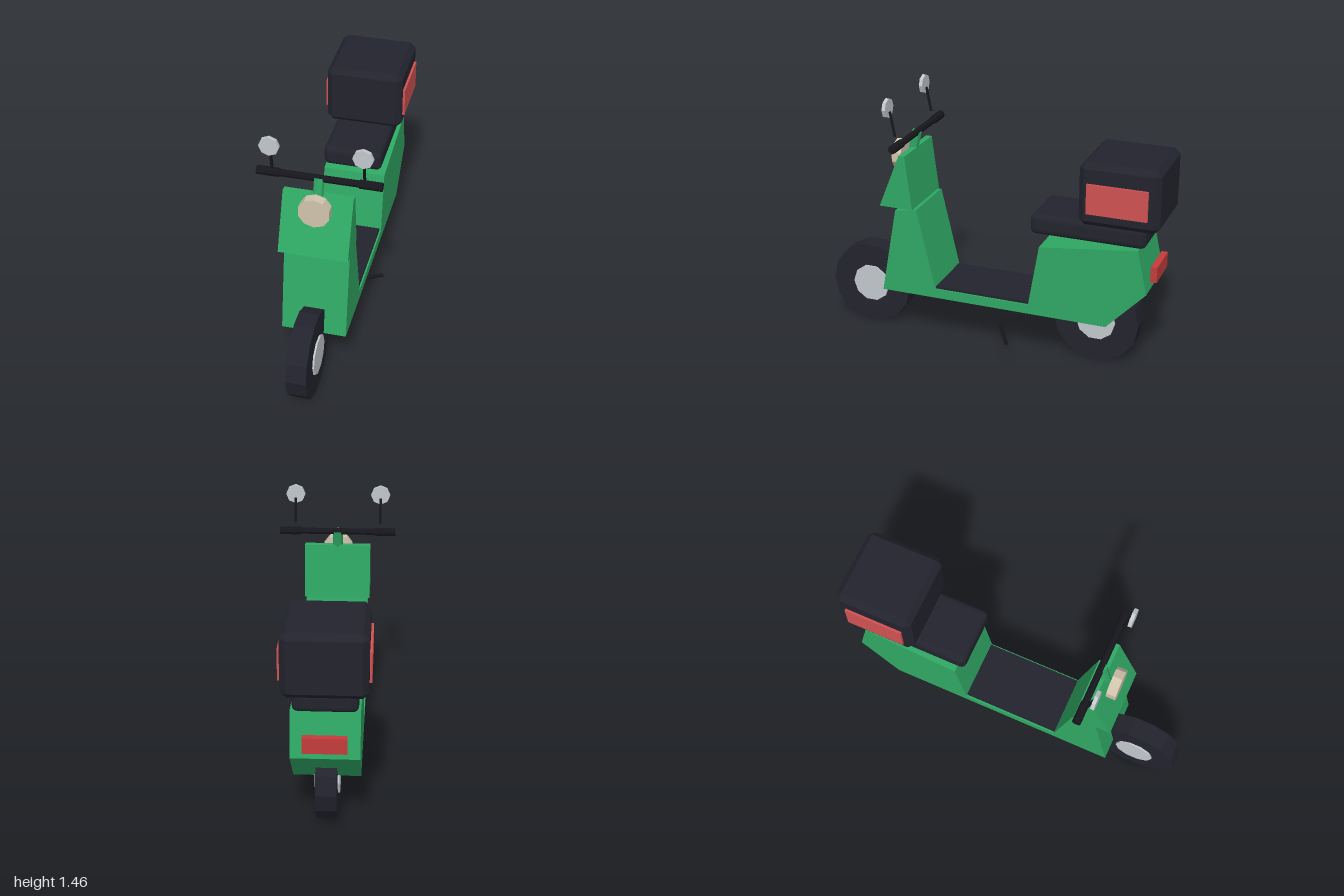
import * as THREE from 'three';
import { RoundedBoxGeometry } from 'three/addons/geometries/RoundedBoxGeometry.js';
import { ConvexGeometry } from 'three/addons/geometries/ConvexGeometry.js';

export function createModel() {
  const model = new THREE.Group();
  model.name = 'scooter';

  const material = (name, color) => {
    const m = new THREE.MeshStandardMaterial({ color });
    m.name = name;
    m.flatShading = true;
    return m;
  };
  const green = material('greenPaint', 0x2fa864);
  const dark = material('darkRubber', 0x23232e);
  const black = material('blackPlastic', 0x16161c);
  const silver = material('silverMetal', 0xc2c8cd);
  const cream = material('creamLens', 0xd0c4ac);
  const red = material('redPanel', 0xd05252);
  const deepRed = material('tailLightRed', 0xc43c3c);

  const add = (name, geometry, mat, x = 0, y = 0, z = 0) => {
    const mesh = new THREE.Mesh(geometry, mat);
    mesh.name = name;
    mesh.position.set(x, y, z);
    model.add(mesh);
    return mesh;
  };

  // Side profile given as [z, y], extruded across x
  const sideProfile = (points, halfWidth) => {
    const shape = new THREE.Shape(points.map(([z, y]) => new THREE.Vector2(z, y)));
    return new THREE.ExtrudeGeometry(shape, { depth: halfWidth * 2, bevelEnabled: false })
      .translate(0, 0, -halfWidth).rotateY(-Math.PI / 2);
  };

  // Straight rod between two points
  const rod = (name, from, to, radius, sides, mat) => {
    const a = new THREE.Vector3(...from), b = new THREE.Vector3(...to);
    const dir = b.clone().sub(a);
    const mesh = add(name, new THREE.CylinderGeometry(radius, radius, dir.length(), sides), mat);
    mesh.position.copy(a).add(b).multiplyScalar(0.5);
    mesh.quaternion.setFromUnitVectors(new THREE.Vector3(0, 1, 0), dir.normalize());
    return mesh;
  };

  // Box with every edge cut at 45 degrees
  const chamferBox = (w, h, d, c) => {
    const points = [];
    for (const sx of [-1, 1]) for (const sy of [-1, 1]) for (const sz of [-1, 1]) {
      for (let axis = 0; axis < 3; axis++) {
        const inset = [0, 1, 2].map((i) => (i === axis ? 0 : c));
        points.push(new THREE.Vector3(
          sx * (w / 2 - inset[0]), sy * (h / 2 - inset[1]), sz * (d / 2 - inset[2])));
      }
    }
    return new ConvexGeometry(points);
  };

  // Wheels
  for (const [name, z] of [['front', 0.755], ['rear', -0.63]]) {
    add(name + 'Tyre', new THREE.CylinderGeometry(0.245, 0.245, 0.112, 14).rotateZ(Math.PI / 2),
      dark, 0, 0.24, z);
    add(name + 'Hub', new THREE.CylinderGeometry(0.113, 0.113, 0.132, 10).rotateZ(Math.PI / 2),
      silver, 0, 0.24, z);
  }

  // Body: leg shield, floor and tail in one shell
  add('body', sideProfile([
    [0.62, 0.275], [0.53, 0.78], [0.40, 0.80], [0.29, 0.33], [-0.27, 0.33],
    [-0.33, 0.69], [-0.885, 0.755], [-0.94, 0.505], [-0.72, 0.275],
  ], 0.18), green);
  add('floorMat', new THREE.BoxGeometry(0.34, 0.02, 0.56), dark, 0, 0.335, 0.01);

  // Front cowl, headlight and steering stem
  add('frontCowl', sideProfile([
    [0.62, 0.80], [0.495, 1.113], [0.46, 1.113], [0.42, 0.80],
  ], 0.19), green);
  add('headlight', new THREE.CylinderGeometry(0.087, 0.087, 0.055, 10).rotateX(Math.PI / 2),
    cream, 0, 1.06, 0.56);
  rod('steeringStem', [0, 0.775, 0.56], [0, 1.205, 0.465], 0.029, 8, green);

  // Handlebar, grips and mirrors
  rod('handlebar', [-0.3, 1.2, 0.463], [0.3, 1.2, 0.463], 0.019, 8, black);
  for (const s of [-1, 1]) {
    const side = s > 0 ? 'left' : 'right';
    rod(side + 'Grip', [s * 0.213, 1.2, 0.463], [s * 0.335, 1.2, 0.463], 0.024, 8, black);
    rod(side + 'MirrorStalk', [s * 0.245, 1.245, 0.485], [s * 0.245, 1.385, 0.512], 0.008, 6, black);
    add(side + 'Mirror', new THREE.CylinderGeometry(0.055, 0.055, 0.02, 8).rotateX(Math.PI / 2),
      silver, s * 0.245, 1.404, 0.525);
  }

  // Seat and luggage box with side panels
  add('seat', new RoundedBoxGeometry(0.34, 0.115, 0.65, 2, 0.032), dark, 0, 0.813, -0.595);
  add('luggageBox', chamferBox(0.444, 0.355, 0.445, 0.032), dark, 0, 1.048, -0.7775);
  for (const s of [-1, 1]) {
    add(s > 0 ? 'leftBoxPanel' : 'rightBoxPanel', new THREE.BoxGeometry(0.02, 0.168, 0.335),
      red, s * 0.225, 1.031, -0.7725);
  }

  // Tail light and kickstand
  add('tailLight', new THREE.BoxGeometry(0.23, 0.088, 0.036), deepRed, 0, 0.6, -0.96);
  rod('kickstand', [0.02, 0.085, -0.048], [0.222, 0.085, -0.16], 0.011, 6, black);

  return model;
}
